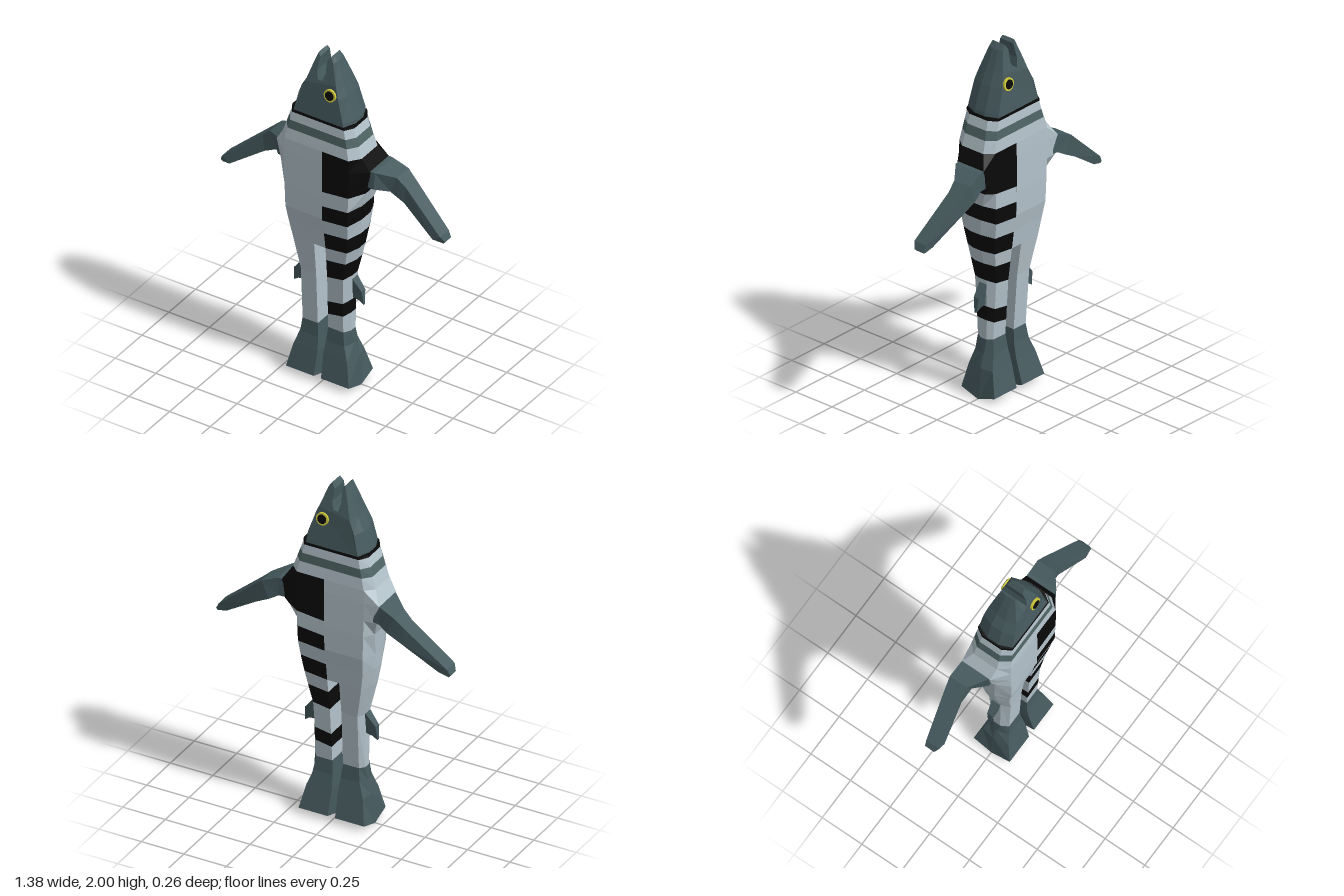
import * as THREE from 'three';

const mat = (name, color) => Object.assign(new THREE.MeshStandardMaterial({ color }), { name });
const CX = -0.01; // body midline

// Half-body sections: y, inner x, front edge x, side x, front z, back z, side front z, side back z
const KEYS = [
  [0.035, 0.022, 0.193, 0.195, 0.115, -0.112, 0.004, -0.004],
  [0.17, 0.018, 0.165, 0.178, 0.088, -0.075, 0.006, -0.006],
  [0.25, 0.024, 0.135, 0.158, 0.07, -0.055, 0.008, -0.008],
  [0.33, 0.032, 0.125, 0.148, 0.062, -0.044, 0.022, -0.018],
  [0.65, 0.034, 0.128, 0.150, 0.075, -0.066, 0.026, -0.024],
  [0.84, 0.035, 0.165, 0.196, 0.092, -0.092, 0.03, -0.03],
  [0.95, 0.035, 0.182, 0.215, 0.108, -0.106, 0.035, -0.035],
  [1.04, 0.035, 0.19, 0.221, 0.125, -0.122, 0.04, -0.04],
  [1.18, 0.035, 0.195, 0.232, 0.126, -0.125, 0.045, -0.07],
  [1.28, 0.035, 0.198, 0.27, 0.126, -0.125, 0.05, -0.118],
  [1.385, 0.035, 0.2, 0.288, 0.126, -0.125, 0.058, -0.12],
  [1.46, 0.035, 0.197, 0.242, 0.125, -0.123, 0.068, -0.08],
  [1.63, 0.035, 0.157, 0.187, 0.107, -0.107, 0.06, -0.06],
  [1.65, 0.035, 0.153, 0.182, 0.106, -0.106, 0.058, -0.058],
];

function section(y) {
  let i = 0;
  while (i < KEYS.length - 2 && y > KEYS[i + 1][0]) i++;
  const a = KEYS[i], b = KEYS[i + 1];
  const t = THREE.MathUtils.clamp((y - a[0]) / (b[0] - a[0]), 0, 1);
  return a.map((v, k) => v + (b[k] - v) * t);
}

// Faceted skin over closed rings, capped at both ends
function loft(rings, flip = false) {
  const p = [];
  const tri = (a, b, c) => (flip ? p.push(...a, ...c, ...b) : p.push(...a, ...b, ...c));
  const n = rings[0].length;
  for (let r = 0; r < rings.length - 1; r++) {
    const A = rings[r], B = rings[r + 1];
    for (let i = 0; i < n; i++) {
      const j = (i + 1) % n;
      tri(A[i], A[j], B[j]);
      tri(A[i], B[j], B[i]);
    }
  }
  const lo = rings[0], hi = rings[rings.length - 1];
  for (let i = 0; i < n - 2; i++) {
    tri(lo[n - 1], lo[i + 1], lo[i]);
    tri(hi[n - 1], hi[i], hi[i + 1]);
  }
  const g = new THREE.BufferGeometry();
  g.setAttribute('position', new THREE.Float32BufferAttribute(p, 3));
  g.computeVertexNormals();
  return g;
}

// One ring of a half body; tilt lifts the outer points, inner overrides the inner edge
const LIFT = [0, 0.6, 1, 1, 0.6, 0, 0];
function ring(y, side, { tilt = 0, inner, grow = 1 } = {}) {
  return LIFT.map((l, i) => {
    const yy = y + l * tilt;
    const [, xi, xf, xs, zf, zb, sf, sb] = section(yy);
    const xin = inner ?? xi;
    const x = [xin, xf, xs, xs, xf, xin, xin][i];
    const z = [zf, zf, sf, sb, zb, zb, 0][i];
    return [CX + side * x * (x === xin ? 1 : grow), yy, z * grow];
  });
}

export function createModel() {
  const root = new THREE.Group();
  root.name = 'fishFigure';
  const pale = mat('paleGrey', 0xb3c2ca);
  const teal = mat('darkTeal', 0x465a5e);
  const band = mat('bandTeal', 0x4f6464);
  const black = mat('black', 0x090909);
  const yellow = mat('eyeYellow', 0xd2cb3a);

  const add = (name, geometry, material, parent = root) => {
    const m = new THREE.Mesh(geometry, material);
    m.name = name;
    parent.add(m);
    return m;
  };

  // Striped half: boundaries from the ankle up, alternating pale and black
  const stripes = [0.33, 0.415, 0.495, 0.65, 0.76, 0.84, 0.94, 1.03, 1.12, 1.21, 1.46];
  const tiltAt = (y) => (y < 0.4 || y > 1.4 ? 0 : 0.028);
  for (let i = 0; i < stripes.length - 1; i++) {
    const ys = [stripes[i], stripes[i + 1]];
    if (i === stripes.length - 2) ys.splice(1, 0, 1.28, 1.385);
    const rings = ys.map((y) => ring(y, 1, { tilt: y === 1.28 || y === 1.385 ? 0 : tiltAt(y) }));
    add(i % 2 ? 'blackStripe' : 'paleStripe', loft(rings), i % 2 ? black : pale);
  }

  // Plain half: leg, then torso reaching across to the stripe edge
  add('plainLeg', loft([0.33, 0.65, 0.84].map((y) => ring(y, -1)), true), pale);
  add('plainTorso', loft([0.84, 0.95, 1.04, 1.18, 1.28, 1.385, 1.46]
    .map((y) => ring(y, -1, { inner: -0.035 })), true), pale);

  // Chest bands and black collar
  const bands = [
    ['lowerChestBand', 1.46, 1.525, pale, 1],
    ['tealChestBand', 1.525, 1.575, band, 1],
    ['upperChestBand', 1.575, 1.63, pale, 1],
    ['collar', 1.627, 1.641, black, 1.02],
  ];
  for (const [name, y0, y1, m, grow] of bands) {
    for (const s of [1, -1]) {
      const opt = { inner: s * 0.035, grow };
      add(name, loft([ring(y0, s, opt), ring(y1, s, opt)], s < 0), m);
    }
  }

  for (const s of [1, -1]) {
    // Tail foot with a wedge sole
    const sole = ring(0.035, s).map(([x, y, z]) => [x, Math.abs(z) < 0.02 ? 0 : y, z]);
    add('foot', loft([sole, ...[0.17, 0.25, 0.33].map((y) => ring(y, s))], s < 0), teal);

    // Flipper arm
    const arm = [
      // top x, top y, bottom x, bottom y, front z, back z
      [0.27, 1.39, 0.26, 1.285, 0.055, -0.12],
      [0.3, 1.387, 0.295, 1.282, 0.05, -0.12],
      [0.39, 1.35, 0.35, 1.25, -0.02, -0.13],
      [0.44, 1.305, 0.43, 1.205, -0.028, -0.122],
      [0.672, 1.1, 0.625, 1.07, 0.004, -0.078],
      [0.69, 1.065, 0.68, 1.055, -0.015, -0.073],
    ].map(([tx, ty, bx, by, zf, zb]) =>
      [[bx, by, zf], [bx, by, zb], [tx, ty, zb], [tx, ty, zf]].map(([x, y, z]) => [s * x, y, z]));
    add('flipperArm', loft(arm, s < 0), teal);

    // Small fin on the outer calf, thinning towards its lower tip
    const fin = [[0.13, 0.66], [0.155, 0.655], [0.208, 0.588], [0.214, 0.505], [0.185, 0.525], [0.13, 0.535]]
      .map(([x, y]) => new THREE.Vector2(CX + s * x, y));
    const fg = new THREE.ExtrudeGeometry(new THREE.Shape(fin), { depth: 1, bevelEnabled: false });
    const fp = fg.attributes.position;
    for (let i = 0; i < fp.count; i++) {
      fp.setZ(i, (fp.getZ(i) - 0.5) * (0.012 + (fp.getY(i) - 0.5) * 0.25));
    }
    fg.computeVertexNormals();
    add('calfFin', fg, teal);
  }

  // Head: profile with an open mouth, thinned towards the lips and chamfered at its edges
  const profile = [
    [-0.199, 1.61], [0.179, 1.61], [0.17, 1.66], [0.125, 1.79], [0.095, 1.86], [0.05, 1.97],
    [0.025, 2], [0.005, 1.97], [0.01, 1.905], [-0.002, 1.865], [-0.03, 1.86], [-0.044, 1.91],
    [-0.038, 1.985], [-0.055, 2], [-0.087, 1.92], [-0.12, 1.83], [-0.16, 1.757], [-0.19, 1.65],
  ].map(([x, y]) => new THREE.Vector2(x, y));
  const head = new THREE.ExtrudeGeometry(new THREE.Shape(profile), { depth: 2, steps: 3, bevelEnabled: false });
  const hp = head.attributes.position;
  const widths = [[1.6, 0.108], [1.66, 0.105], [1.8, 0.094], [1.86, 0.079], [1.97, 0.049], [2.01, 0.038]];
  const halfWidth = (y) => {
    const k = widths.findIndex((w) => w[0] > y);
    const [a, b] = [widths[k - 1], widths[k]];
    return a[1] + (b[1] - a[1]) * (y - a[0]) / (b[0] - a[0]);
  };
  for (let i = 0; i < hp.count; i++) {
    const dx = hp.getX(i) - CX, y = hp.getY(i), z = hp.getZ(i) - 1;
    const pull = Math.abs(z) > 0.9 ? 0.2 * Math.max(0, Math.abs(dx) - 0.03) : 0;
    hp.setXYZ(i, CX + dx - Math.sign(dx) * pull, y, z * 1.0 * halfWidth(y));
  }
  head.computeVertexNormals();
  add('head', head, teal);

  // Eyes on both flat faces of the head: yellow ring and black pupil
  for (const s of [1, -1]) {
    const eye = new THREE.Group();
    eye.name = 'eye';
    eye.position.set(0.053, 1.8, s * 0.09);
    eye.rotation.x = s * (Math.PI / 2 - 0.12);
    add('eyeRing', new THREE.CylinderGeometry(0.036, 0.036, 0.016, 12), yellow, eye);
    add('pupil', new THREE.CylinderGeometry(0.026, 0.026, 0.022, 12), black, eye);
    root.add(eye);
  }
  return root;
}
